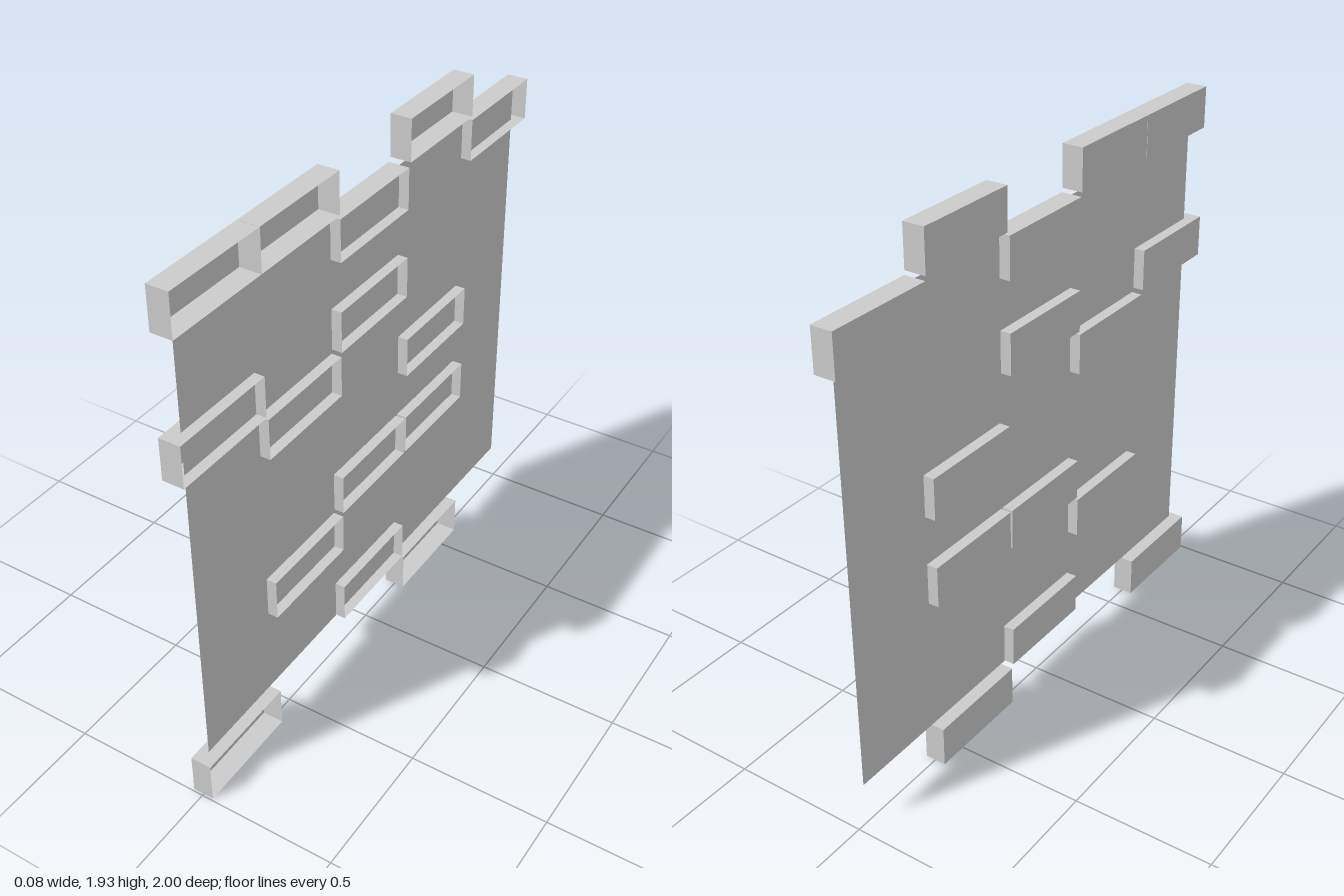
import * as THREE from 'three';

export function createModel() {
  const group = new THREE.Group();
  group.name = 'brickWall';
  const material = new THREE.MeshStandardMaterial({
    color: 0xcccccc, flatShading: true, side: THREE.DoubleSide,
  });

  // Thin wall sheet in the plane x = 0
  const wall = new THREE.Mesh(new THREE.PlaneGeometry(1.915, 1.605), material);
  wall.name = 'wallPanel';
  wall.rotation.y = Math.PI / 2;
  wall.position.set(0, 0.963, -0.0075);
  group.add(wall);

  // Brick shell: a box without its +x face (the first six indices)
  const brickGeometry = new THREE.BoxGeometry(0.076, 0.148, 0.395);
  brickGeometry.setIndex(Array.from(brickGeometry.index.array).slice(6));
  brickGeometry.clearGroups();

  // Bricks set into the wall, as [column, course] on a regular grid
  const columns = [0.795, 0.398, 0, -0.405, -0.802];
  const coursePitch = 0.1617;
  const bricks = [
    [0, 0], [3, 0], [2, 1], [1, 3], [2, 4], [3, 4], [3, 6], [1, 7],
    [0, 8], [2, 8], [2, 10], [4, 10], [0, 11], [1, 11], [3, 11],
  ];
  bricks.forEach(([column, course], i) => {
    const brick = new THREE.Mesh(brickGeometry, material);
    brick.name = `brick${i + 1}`;
    // The end brick of course 8 stands out slightly further
    const shift = column === 0 && course === 8 ? 0.0075 : 0;
    brick.position.set(-0.001, 0.075 + course * coursePitch, columns[column] + shift);
    group.add(brick);
  });

  return group;
}
